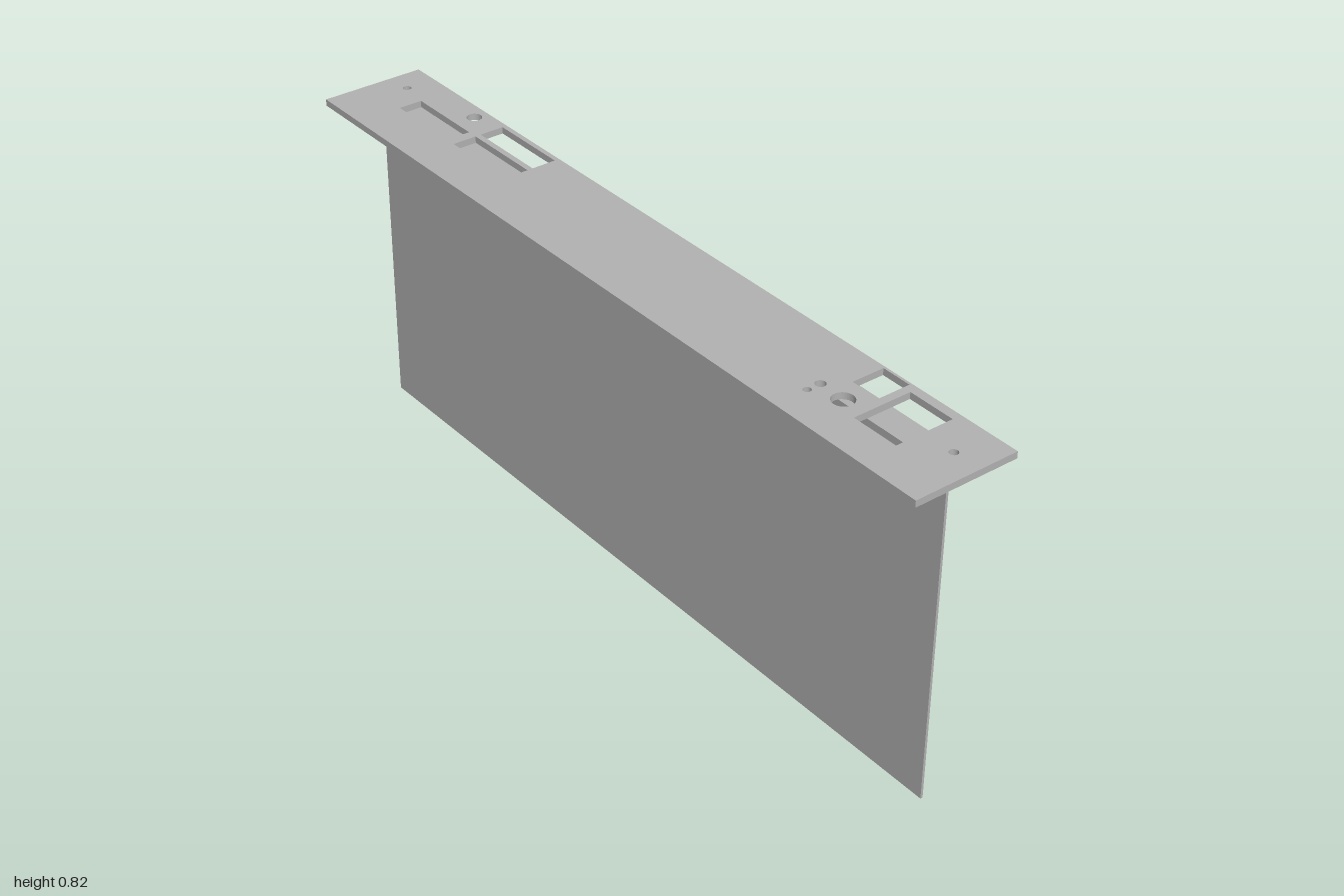
import * as THREE from 'three';

const TOP = 0.82, UNDER = 0.804;

// closed outline from [x, y] corners
const outline = (pts, Type = THREE.Shape) => new Type(pts.map(([x, y]) => new THREE.Vector2(x, y)));
const rect = (x0, x1, z0, z1, Type) => outline([[x0, z0], [x1, z0], [x1, z1], [x0, z1]], Type);

// rectangular cut-outs: x0, x1, z0, z1
const SLOTS = [
  [-0.016, 0.042, -0.86, -0.664],
  [-0.018, 0.042, -0.638, -0.437],
  [0.056, 0.116, -0.638, -0.437],
  [0.042, 0.122, 0.638, 0.712],
  [-0.038, 0.106, 0.732, 0.849],
];

// round holes: x, z, radius
const HOLES = [
  [0.053, -0.935, 0.01],
  [0.093, -0.717, 0.018],
  [-0.045, 0.605, 0.009],
  [-0.011, 0.605, 0.012],
  [-0.013, 0.673, 0.025],
  [0.032, 0.93, 0.01],
];

export function createModel() {
  const model = new THREE.Group();
  model.name = 'bracketPanel';
  const metal = new THREE.MeshStandardMaterial({ color: 0xb2b2b2 });
  metal.name = 'grey metal';

  const add = (name, geometry) => {
    const mesh = new THREE.Mesh(geometry, metal);
    mesh.name = name;
    model.add(mesh);
  };

  // face plate with connector cut-outs, laid flat
  const plate = rect(-0.128, 0.128, -1, 1);
  for (const s of SLOTS) plate.holes.push(rect(...s, THREE.Path));
  for (const [x, z, r] of HOLES) plate.holes.push(new THREE.Path().absarc(x, z, r, 0, Math.PI * 2, true));
  const plateGeometry = new THREE.ExtrudeGeometry(plate, { depth: TOP - UNDER, bevelEnabled: false, curveSegments: 24 });
  plateGeometry.rotateX(Math.PI / 2).translate(0, TOP, 0);
  add('facePlate', plateGeometry);

  // upright sheet with its folded top flange, one L-shaped section
  const section = outline([
    [-0.004, 0], [0.002, 0], [0.002, 0.798], [0.061, 0.798], [0.061, UNDER], [-0.004, UNDER],
  ]);
  const sheet = new THREE.ExtrudeGeometry(section, { depth: 1.904, bevelEnabled: false });
  add('uprightSheet', sheet.translate(0, 0, -0.95));

  return model;
}
